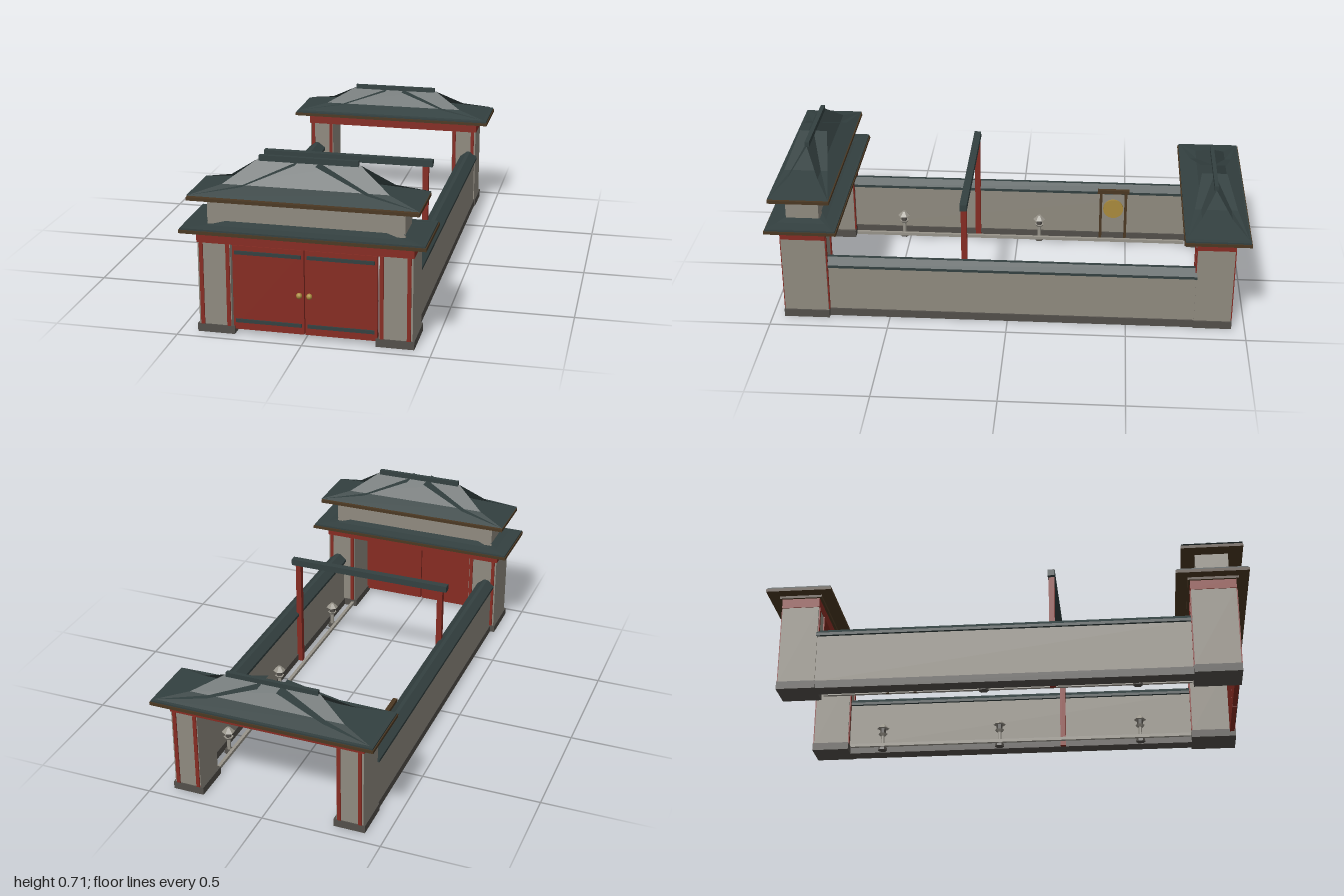
import * as THREE from 'three';

const mat = (name, color, side = THREE.FrontSide) => {
  const m = new THREE.MeshStandardMaterial({ color, side });
  m.name = name;
  return m;
};

export function createModel() {
  const root = new THREE.Group();
  root.name = 'walledCourtyard';

  const stone = mat('wall stone', 0x8f8a7f);
  const base = mat('dark base stone', 0x524f4a);
  const red = mat('red paint', 0x862b22);
  const tile = mat('roof tile', 0x334040, THREE.DoubleSide);
  const wood = mat('eave wood', 0x4b3822);
  const gold = mat('brass', 0xa98a3c);
  const rail = mat('pale stone', 0x98948a);

  const add = (parent, name, geo, m, x = 0, y = 0, z = 0) => {
    const mesh = new THREE.Mesh(geo, m);
    mesh.name = name;
    mesh.position.set(x, y, z);
    parent.add(mesh);
    return mesh;
  };
  // Box given by its lower and upper bounds on each axis
  const box = (parent, name, m, x0, x1, y0, y1, z0, z1) =>
    add(parent, name, new THREE.BoxGeometry(x1 - x0, y1 - y0, z1 - z0), m,
      (x0 + x1) / 2, (y0 + y1) / 2, (z0 + z1) / 2);
  const group = (name, x = 0, z = 0) => {
    const g = new THREE.Group();
    g.name = name;
    g.position.set(x, 0, z);
    root.add(g);
    return g;
  };

  // Sagging roof slope: half width w0 -> w1, reach d0 -> d1, height y0 -> y1
  const slope = (w0, w1, d0, d1, y0, y1) => {
    const pos = [];
    const row = (t) => {
      const w = w0 + (w1 - w0) * t, d = d0 + (d1 - d0) * t;
      const y = y0 + (y1 - y0) * t ** 1.8;
      return [[-w, y, d], [w, y, d]];
    };
    for (let i = 0; i < 2; i++) {
      const [a, b] = row(i / 2), [c, d] = row((i + 1) / 2);
      pos.push(...a, ...b, ...d, ...a, ...d, ...c);
    }
    const g = new THREE.BufferGeometry();
    g.setAttribute('position', new THREE.Float32BufferAttribute(pos, 3));
    g.computeVertexNormals();
    return g;
  };

  // Four overlapping slopes: long ones meet at the ridge, end ones run under it
  const hipRoof = (parent, name, w, d, y0, y1, ridge, inner, topX, topZ) => {
    for (const turn of [0, 1]) {
      add(parent, name + 'LongSlope', slope(w, ridge, d, inner, y0, y1), tile)
        .rotation.y = turn * Math.PI;
      add(parent, name + 'EndSlope', slope(d, topZ, w, topX, y0, y1), tile)
        .rotation.y = Math.PI / 2 + turn * Math.PI;
    }
  };

  // Piers, corner strips, lintel and eave slabs shared by both gates
  const gateBody = (g, outer, inner, dz0, dz1, eaveX, ez0, ez1) => {
    for (const s of [-1, 1]) {
      const span = (name, m, a, b, ...rest) =>
        box(g, name, m, Math.min(s * a, s * b), Math.max(s * a, s * b), ...rest);
      span('pierBase', base, inner - 0.012, outer + 0.007, 0, 0.033, dz0 - 0.004, dz1 + 0.004);
      span('pier', stone, inner, outer, 0.033, 0.37, dz0, dz1);
      for (const x of [inner + 0.003, outer - 0.022]) {
        span('frontCornerStrip', red, x, x + 0.015, 0.033, 0.37, dz1, dz1 + 0.005);
        span('backCornerStrip', red, x, x + 0.015, 0.033, 0.37, dz0 - 0.005, dz0);
      }
    }
    box(g, 'lintel', red, -outer - 0.003, outer + 0.003, 0.37, 0.41, dz0 - 0.002, dz1 + 0.002);
    box(g, 'eaveBracketCourse', wood, -outer - 0.012, outer + 0.012, 0.41, 0.421, dz0 - 0.012, dz1 + 0.012);
    box(g, 'eaveSlab', wood, -eaveX, eaveX, 0.421, 0.434, ez0, ez1);
    box(g, 'eaveTilePlate', tile, -eaveX + 0.004, eaveX - 0.004, 0.434, 0.441, ez0 + 0.004, ez1 - 0.004);
  };

  // Main gate, centred on z = 0.855
  const main = group('mainGate', 0, 0.855);
  gateBody(main, 0.423, 0.292, -0.095, 0.09, 0.48, -0.155, 0.145);
  hipRoof(main, 'lowerRoof', 0.468, 0.14, 0.441, 0.458, 0.3, 0.06, 0.37, 0.06);
  box(main, 'upperWall', stone, -0.387, 0.387, 0.436, 0.55, -0.07, 0.067);
  box(main, 'upperEaveSlab', wood, -0.45, 0.45, 0.549, 0.562, -0.128, 0.128);
  hipRoof(main, 'upperRoof', 0.45, 0.126, 0.568, 0.693, 0.2, 0, 0.04, 0.058);
  box(main, 'upperRidge', tile, -0.194, 0.194, 0.688, 0.71, -0.009, 0.009);

  // Double doors with iron bands and knobs
  for (const s of [-1, 1]) {
    const door = new THREE.Group();
    door.name = s > 0 ? 'leftDoor' : 'rightDoor';
    main.add(door);
    const cx = s * 0.1435;
    add(door, 'doorPanel', new THREE.BoxGeometry(0.283, 0.346, 0.02), red, cx, 0.194, 0.078);
    for (const y of [0.058, 0.34])
      add(door, 'doorBand', new THREE.BoxGeometry(0.263, 0.014, 0.006), tile, cx, y, 0.091);
    add(door, 'doorKnob', new THREE.SphereGeometry(0.012, 10, 8), gold, s * 0.02, 0.183, 0.093);
  }

  // Rear gate, open, with a single roof
  const rear = group('rearGate', 0, -0.863);
  gateBody(rear, 0.408, 0.295, -0.077, 0.077, 0.468, -0.137, 0.137);
  hipRoof(rear, 'rearRoof', 0.45, 0.126, 0.446, 0.542, 0.2, 0, 0.04, 0.054);
  box(rear, 'rearRidge', tile, -0.194, 0.194, 0.538, 0.558, -0.008, 0.008);

  // Side walls with tiled coping, and low rails inside them
  const coping = new THREE.Shape([[-0.04, 0.235], [0.04, 0.235], [0.04, 0.247], [0.008, 0.272],
    [-0.008, 0.272], [-0.04, 0.247]].map(([x, y]) => new THREE.Vector2(x, y)));
  for (const s of [-1, 1]) {
    const side = group(s > 0 ? 'leftWall' : 'rightWall', s * 0.376);
    box(side, 'wallBase', base, -0.034, 0.034, 0, 0.033, -0.79, 0.765);
    box(side, 'wall', stone, -0.028, 0.028, 0.033, 0.24, -0.79, 0.765);
    add(side, 'wallCoping', new THREE.ExtrudeGeometry(coping, { depth: 1.55, bevelEnabled: false }),
      tile, 0, 0, -0.79);
    box(root, 'lowRail', rail, s * 0.297 - 0.007, s * 0.297 + 0.007, 0.012, 0.026, -0.77, 0.75);
  }

  // Crossbeam frame
  const frame = group('crossbeamFrame', 0, 0.185);
  for (const s of [-1, 1])
    box(frame, 'framePost', red, s * 0.335 - 0.012, s * 0.335 + 0.012, 0, 0.497, -0.012, 0.012);
  box(frame, 'crossbeam', tile, -0.365, 0.365, 0.495, 0.523, -0.015, 0.015);

  // Stone lanterns
  const lantern = (x, z) => {
    const g = group('stoneLantern', x, z);
    const drum = (name, m, r0, r1, y0, y1) =>
      add(g, name, new THREE.CylinderGeometry(r1, r0, y1 - y0, 6).toNonIndexed(), m, 0, (y0 + y1) / 2, 0)
        .geometry.computeVertexNormals();
    drum('lanternFoot', base, 0.021, 0.018, 0, 0.018);
    drum('lanternShaft', rail, 0.008, 0.008, 0.018, 0.07);
    drum('lanternShelf', rail, 0.014, 0.021, 0.07, 0.08);
    drum('lanternChamber', base, 0.013, 0.013, 0.08, 0.105);
    drum('lanternCap', rail, 0.028, 0.008, 0.105, 0.125);
  };
  for (const z of [-0.1, 0.53]) for (const s of [-1, 1]) lantern(s * 0.317, z);
  lantern(0.317, -0.63);

  // Gong in a wooden stand
  const gong = group('gongStand', -0.328, -0.44);
  for (const s of [-1, 1])
    box(gong, 'gongPost', wood, -0.007, 0.007, 0, 0.25, s * 0.057 - 0.006, s * 0.057 + 0.006);
  box(gong, 'gongBar', wood, -0.009, 0.009, 0.245, 0.262, -0.073, 0.073);
  add(gong, 'gongDisc', new THREE.CylinderGeometry(0.046, 0.046, 0.008, 24), gold, 0, 0.165, 0)
    .rotation.z = Math.PI / 2;

  return root;
}
